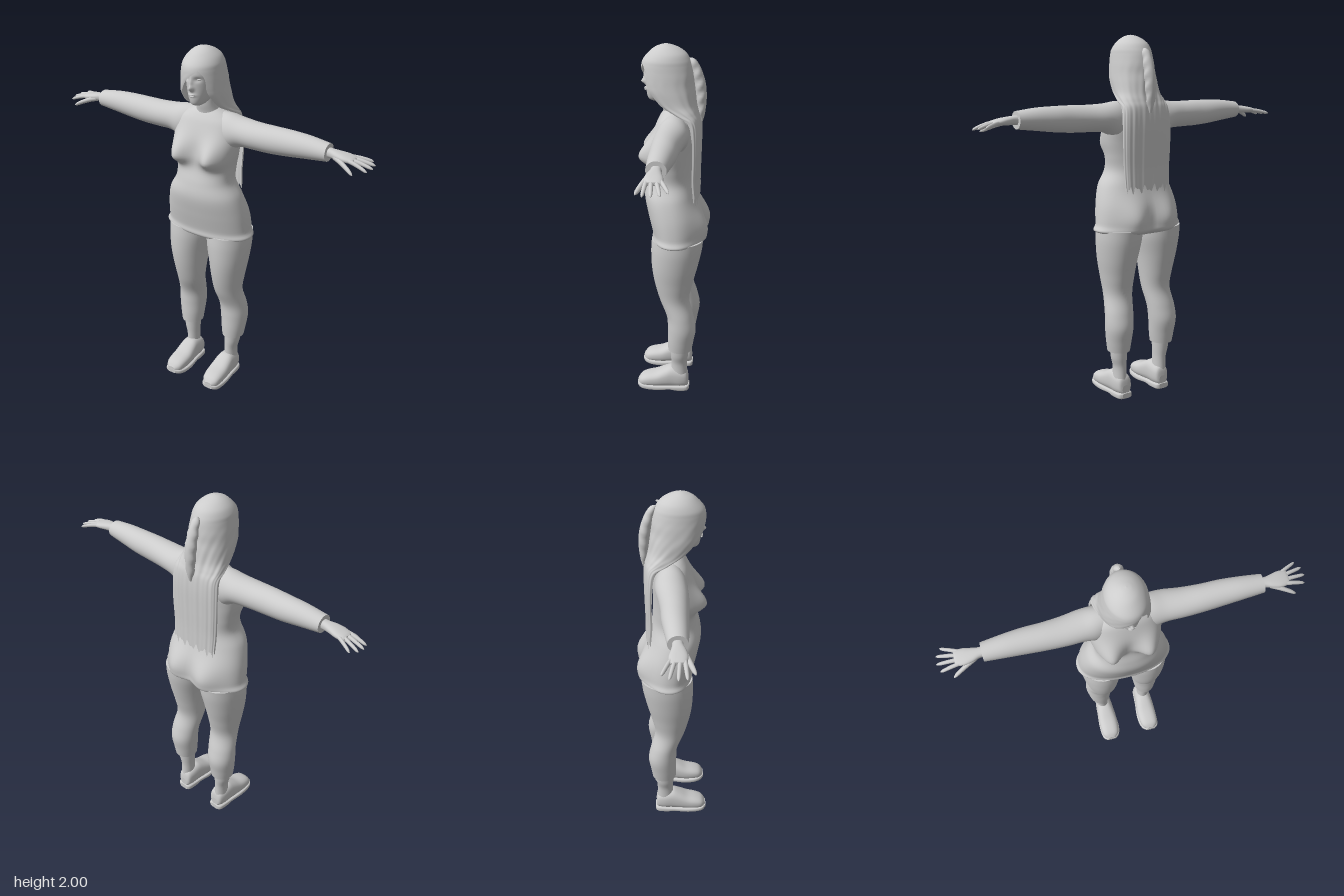
import * as THREE from 'three';

const grey = new THREE.MeshStandardMaterial({ color: 0xcccccc });
grey.name = 'plain grey';
const greySheet = grey.clone();
greySheet.side = THREE.DoubleSide;
greySheet.name = 'plain grey sheet';

// Smoothly interpolated value of each column of a table at u in 0..1
function sample(rows, u) {
  const f = u * (rows.length - 1), i = Math.min(Math.floor(f), rows.length - 2), k = f - i;
  const at = j => rows[Math.max(0, Math.min(rows.length - 1, j))];
  return rows[0].map((_, c) => {
    const a = at(i - 1)[c], b = at(i)[c], d = at(i + 1)[c], e = at(i + 2)[c];
    return b + 0.5 * k * (d - a + k * (2 * a - 5 * b + 4 * d - e + k * (3 * (b - d) + e - a)));
  });
}

function build(pos, idx) {
  const g = new THREE.BufferGeometry();
  g.setAttribute('position', new THREE.Float32BufferAttribute(pos, 3));
  g.setIndex(idx);
  g.computeVertexNormals();
  return g;
}

// Closed loft. Rows: [t, pMin, pMax, qMin, qMax], t ascending along the axis.
const place = {
  y: (t, p, q) => [p, t, q],
  x: (t, p, q) => [t, q, p],
  z: (t, p, q) => [q, p, t],
};
function loft(rows, { axis = 'y', n = 28, m = 28, square = 1, move } = {}) {
  const pos = [], idx = [], bend = v => Math.sign(v) * Math.abs(v) ** square;
  const put = (t, p, q) => {
    const v = place[axis](t, p, q);
    if (move) move(v);
    return pos.push(...v) / 3 - 1;
  };
  const ring = ([t, p0, p1, q0, q1]) => {
    for (let j = 0; j < n; j++) {
      const a = j / n * Math.PI * 2;
      put(t, (p0 + p1) / 2 + (p1 - p0) / 2 * bend(Math.cos(a)), (q0 + q1) / 2 + (q1 - q0) / 2 * bend(Math.sin(a)));
    }
  };
  for (let i = 0; i <= m; i++) ring(sample(rows, i / m));
  for (let i = 0; i < m; i++) for (let j = 0; j < n; j++) {
    const a = i * n + j, b = i * n + (j + 1) % n;
    idx.push(a, a + n, b, b, a + n, b + n);
  }
  // flat end caps
  [rows[0], rows[rows.length - 1]].forEach((r, end) => {
    const s = pos.length / 3;
    ring(r);
    const c = put(r[0], (r[1] + r[2]) / 2, (r[3] + r[4]) / 2);
    for (let j = 0; j < n; j++) {
      const a = s + j, b = s + (j + 1) % n;
      end ? idx.push(c, b, a) : idx.push(c, a, b);
    }
  });
  return build(pos, idx);
}

function mirrored(g) {
  const m = g.clone().scale(-1, 1, 1), ix = m.index.array;
  for (let i = 0; i < ix.length; i += 3) [ix[i + 1], ix[i + 2]] = [ix[i + 2], ix[i + 1]];
  m.computeVertexNormals();
  return m;
}

const bump = (x, y, cx, cy, sx, sy) => Math.exp(-(((x - cx) / sx) ** 2) - ((y - cy) / sy) ** 2);

export function createModel() {
  const model = new THREE.Group();
  const add = (name, g, mat = grey) => {
    const mesh = new THREE.Mesh(g, mat);
    mesh.name = name;
    model.add(mesh);
  };
  const pair = (name, g) => {
    add(name + 'Left', g);
    add(name + 'Right', mirrored(g));
  };

  // Torso with bust and seat pushed out of the basic loft
  const sym = (y, r, back, front) => [y, -r, r, back, front];
  add('torso', loft([
    sym(0.925, 0.05, -0.08, 0.03), sym(0.955, 0.252, -0.155, 0.1), sym(1.0, 0.253, -0.16, 0.106),
    sym(1.1, 0.24, -0.155, 0.13), sym(1.2, 0.21, -0.13, 0.148), sym(1.28, 0.167, -0.115, 0.137),
    sym(1.36, 0.17, -0.11, 0.115), sym(1.44, 0.185, -0.11, 0.112), sym(1.52, 0.19, -0.115, 0.105),
    sym(1.6, 0.175, -0.11, 0.078), sym(1.64, 0.125, -0.09, 0.055), sym(1.668, 0.06, -0.06, 0.03),
  ], {
    n: 72, m: 72, square: 0.9,
    move: v => {
      const [x, y, z] = v, ax = Math.abs(x);
      if (z > 0) v[2] += 0.072 * Math.min(1, z / 0.06) * bump(ax, y, 0.105, y < 1.42 ? 1.42 : 1.425, 0.062, y < 1.42 ? 0.045 : 0.085);
      else v[2] -= 0.05 * Math.min(1, -z / 0.08) * bump(ax, y, 0.105, 1.02, 0.085, 0.1);
    },
  }));

  // Trouser legs, ankles
  pair('leg', loft([
    [0.28, 0.083, 0.207, -0.125, 0.01], [0.34, 0.075, 0.217, -0.135, 0.012], [0.42, 0.067, 0.226, -0.147, 0.012],
    [0.5, 0.06, 0.222, -0.132, 0.018], [0.6, 0.048, 0.21, -0.107, 0.058], [0.7, 0.037, 0.222, -0.125, 0.085],
    [0.8, 0.024, 0.238, -0.15, 0.1], [0.9, 0.006, 0.248, -0.172, 0.104], [0.97, 0.002, 0.248, -0.18, 0.1],
  ], { n: 40, m: 48 }));
  pair('ankle', loft([
    [0.1, 0.098, 0.172, -0.1, -0.005], [0.18, 0.1, 0.172, -0.098, -0.007],
    [0.24, 0.098, 0.186, -0.104, -0.004], [0.31, 0.096, 0.192, -0.11, -0.002],
  ]));

  // Shoes: upper and sole, each lofted from heel to toe
  pair('shoe', loft([
    [-0.105, 0.03, 0.08, 0.105, 0.15], [-0.095, 0.025, 0.125, 0.088, 0.167], [-0.06, 0.02, 0.142, 0.08, 0.178],
    [-0.01, 0.02, 0.153, 0.077, 0.182], [0.03, 0.02, 0.138, 0.073, 0.185], [0.08, 0.02, 0.112, 0.07, 0.187],
    [0.13, 0.02, 0.098, 0.074, 0.186], [0.165, 0.022, 0.083, 0.085, 0.178], [0.186, 0.03, 0.058, 0.11, 0.155],
  ], { axis: 'z', square: 0.8 }));
  pair('sole', loft([
    [-0.11, 0.004, 0.034, 0.1, 0.153], [-0.095, 0, 0.036, 0.084, 0.172], [-0.04, 0, 0.036, 0.078, 0.18],
    [0.0, 0.008, 0.036, 0.075, 0.183], [0.07, 0.004, 0.036, 0.066, 0.19], [0.13, 0.006, 0.038, 0.068, 0.19],
    [0.17, 0.012, 0.042, 0.082, 0.182], [0.19, 0.022, 0.046, 0.105, 0.16],
  ], { axis: 'z', square: 0.5 }));

  // Sleeved arms; rows are [x, zMin, zMax, yMin, yMax]
  pair('arm', loft([
    [0.07, -0.085, 0.045, 1.47, 1.655], [0.14, -0.1, 0.065, 1.455, 1.655], [0.21, -0.098, 0.066, 1.492, 1.645],
    [0.3, -0.085, 0.068, 1.498, 1.641], [0.4, -0.076, 0.065, 1.5, 1.642], [0.5, -0.073, 0.06, 1.508, 1.641],
    [0.6, -0.063, 0.055, 1.52, 1.637], [0.71, -0.05, 0.048, 1.533, 1.624],
  ], { axis: 'x', n: 40, m: 40 }));

  // Hands: palm, four fingers and a thumb
  pair('palm', loft([
    [0.67, -0.032, 0.026, 1.552, 1.606], [0.72, -0.028, 0.024, 1.556, 1.602], [0.76, -0.036, 0.036, 1.556, 1.598],
    [0.8, -0.046, 0.042, 1.556, 1.592], [0.835, -0.046, 0.036, 1.556, 1.584], [0.848, -0.038, 0.028, 1.562, 1.578],
  ], { axis: 'x', square: 0.85 }));
  const finger = (x0, z0, y0, x1, z1, y1, r) => loft([0, 0.3, 0.6, 0.88, 1].map((k, i) => {
    const w = r * [1, 1, 0.92, 0.75, 0.2][i];
    const z = z0 + (z1 - z0) * k, y = y0 + (y1 - y0) * k ** 1.4;
    return [x0 + (x1 - x0) * k, z - w, z + w, y - w, y + w];
  }), { axis: 'x', n: 12, m: 12 });
  [[-0.036, 0.91, -0.08, 1.552], [-0.016, 0.935, -0.046, 1.548], [0.006, 0.94, -0.006, 1.545], [0.026, 0.928, 0.034, 1.54]]
    .forEach(([z0, x1, z1, y1], i) => pair('finger' + (i + 1), finger(0.82, z0, 1.572, x1, z1, y1, 0.0105)));
  pair('thumb', finger(0.745, 0.018, 1.572, 0.872, 0.072, 1.526, 0.014));

  // Neck and head with nose, brow, lips and eye sockets
  add('neck', loft([
    sym(1.6, 0.085, -0.075, 0.045), sym(1.65, 0.066, -0.065, 0.048), sym(1.7, 0.054, -0.05, 0.058), sym(1.77, 0.054, -0.05, 0.06),
  ]));
  add('head', loft([
    sym(1.704, 0.018, 0.05, 0.105), sym(1.715, 0.034, 0.02, 0.125), sym(1.74, 0.052, -0.03, 0.134), sym(1.78, 0.068, -0.06, 0.137),
    sym(1.83, 0.078, -0.08, 0.141), sym(1.88, 0.083, -0.088, 0.145), sym(1.93, 0.074, -0.07, 0.128), sym(1.975, 0.03, -0.01, 0.07),
  ], {
    n: 96, m: 72,
    move: v => {
      const [x, y, z] = v;
      if (z < 0.06) return;
      v[2] += 0.022 * bump(x, y, 0, 1.803, 0.012, 0.014) + 0.011 * bump(x, y, 0, 1.83, 0.009, 0.024)
        + 0.007 * bump(x, y, 0, 1.767, 0.02, 0.008) - 0.009 * bump(Math.abs(x), y, 0.032, 1.85, 0.017, 0.012);
    },
  }));
  pair('eye', new THREE.SphereGeometry(1, 16, 10).scale(0.014, 0.006, 0.008).translate(0.032, 1.85, 0.121));
  add('upperLip', new THREE.SphereGeometry(1, 16, 8).scale(0.02, 0.0045, 0.007).translate(0, 1.771, 0.141));
  add('lowerLip', new THREE.SphereGeometry(1, 16, 8).scale(0.017, 0.005, 0.008).translate(0, 1.762, 0.14));

  // Long hair as one sheet around the back, with a fringe swept over the right eye
  // rows: [y, half width, back z, front z, left edge angle, right edge angle] (angles in units of PI from the back)
  const hairRows = [
    [1.19, 0.14, -0.15, -0.1, 0.5, 0.5], [1.3, 0.145, -0.15, -0.08, 0.5, 0.5], [1.42, 0.15, -0.153, -0.08, 0.5, 0.5],
    [1.54, 0.15, -0.155, -0.07, 0.5, 0.5], [1.62, 0.143, -0.15, -0.05, 0.52, 0.52], [1.66, 0.136, -0.14, 0.02, 0.6, 0.6],
    [1.7, 0.125, -0.13, 0.09, 0.68, 0.68], [1.76, 0.12, -0.122, 0.14, 0.73, 0.77], [1.8, 0.116, -0.115, 0.154, 0.76, 0.85],
    [1.84, 0.112, -0.112, 0.16, 0.76, 0.93], [1.87, 0.108, -0.107, 0.162, 0.78, 1.02], [1.9, 0.104, -0.1, 0.16, 0.86, 1.13],
    [1.925, 0.099, -0.09, 0.15, 0.97, 1.06], [1.955, 0.083, -0.07, 0.124, 1, 1], [1.98, 0.056, -0.034, 0.095, 1, 1],
    [1.995, 0.027, 0.006, 0.06, 1, 1], [2.0, 0.001, 0.031, 0.033, 1, 1],
  ];
  const pos = [], idx = [], M = 110, N = 120;
  for (let i = 0; i <= M; i++) {
    const [y, rx, zb, zf, aL, aR] = sample(hairRows, i / M);
    const low = THREE.MathUtils.clamp((1.9 - y) / 0.3, 0, 1), hem = Math.max(0, 1 - (y - 1.19) / 0.15);
    for (let j = 0; j <= N; j++) {
      const u = j / N, a = Math.PI * (-aR + (aL + aR) * u);
      const s = Math.sin(a), c = Math.cos(a), flat = 1 - 0.35 * low;
      const lock = Math.sin(u * 47) * 0.6 + Math.sin(u * 83 + y * 3) * 0.4, k = 1 + lock * 0.035 * low;
      pos.push(rx * s * (1 + lock * 0.015 * low), y + hem * 0.025 * lock,
        (zb + zf) / 2 - (zf - zb) / 2 * Math.sign(c) * Math.abs(c) ** flat * k);
      if (i < M && j < N) {
        const p = i * (N + 1) + j, q = p + N + 1;
        idx.push(p, q, p + 1, p + 1, q, q + 1);
      }
    }
  }
  add('longHair', build(pos, idx), greySheet);

  // Tied tail hanging behind the head
  add('hairTail', loft([
    sym(1.595, 0.006, -0.158, -0.146), sym(1.64, 0.02, -0.17, -0.135), sym(1.72, 0.028, -0.178, -0.125),
    sym(1.8, 0.03, -0.172, -0.115), sym(1.87, 0.026, -0.15, -0.1), sym(1.915, 0.018, -0.125, -0.088), sym(1.93, 0.005, -0.105, -0.09),
  ], { n: 40, m: 30, move: v => { v[0] *= 1 + 0.12 * Math.sin(v[1] * 90 + v[2] * 60); } }));

  return model;
}
